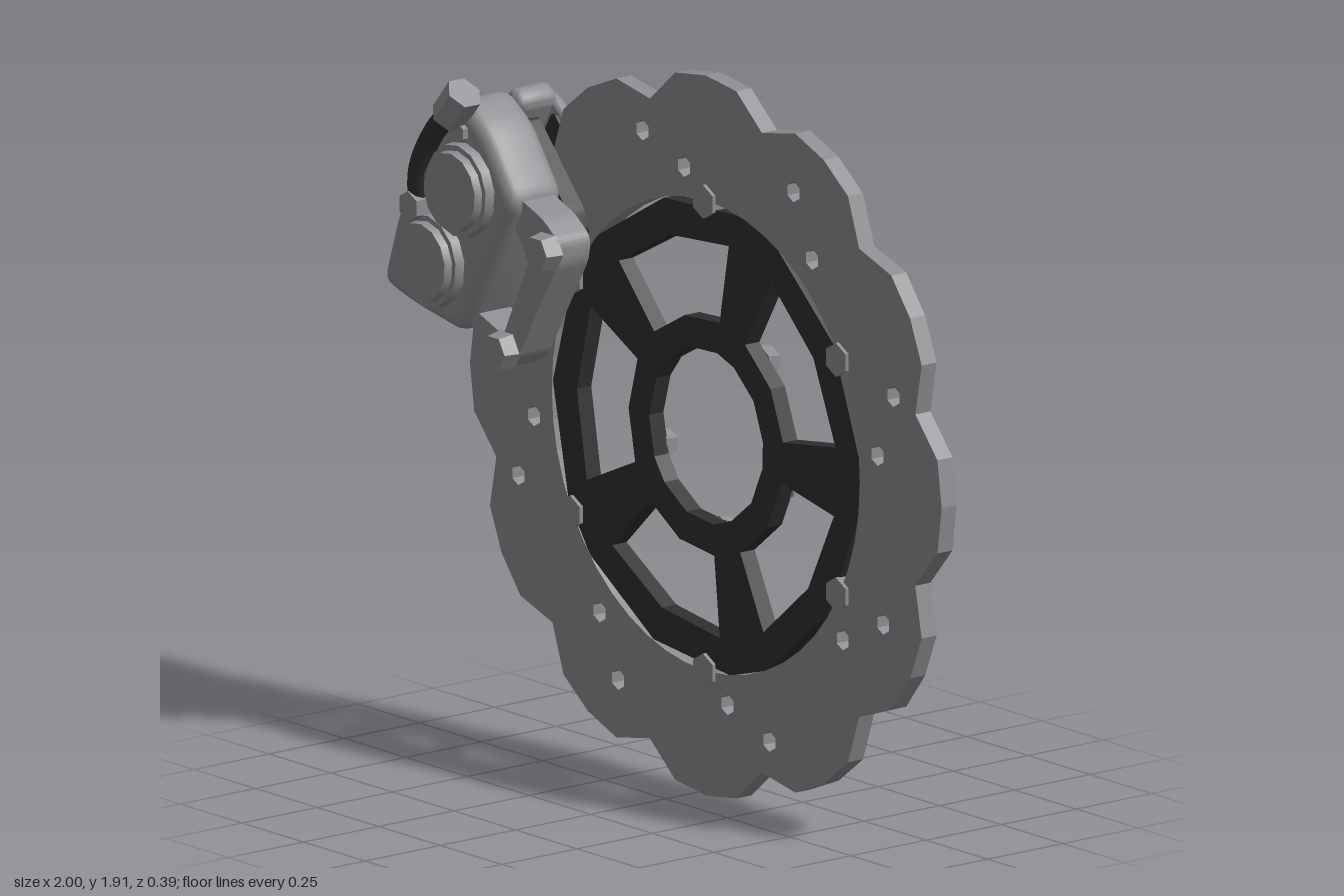
import * as THREE from 'three';
import { toCreasedNormals } from 'three/addons/utils/BufferGeometryUtils.js';

const steel = new THREE.MeshStandardMaterial({ color: 0x8c8d90 });
steel.name = 'steel grey';
const dark = new THREE.MeshStandardMaterial({ color: 0x2f2f2f });
dark.name = 'dark grey';

const rad = THREE.MathUtils.degToRad;
const polar = (r, deg) => new THREE.Vector2(r * Math.cos(rad(deg)), r * Math.sin(rad(deg)));

function add(parent, name, geometry, material) {
  const mesh = new THREE.Mesh(geometry, material);
  mesh.name = name;
  parent.add(mesh);
  return mesh;
}

// Regular polygon path, used for holes
function ring(r, sides, x = 0, y = 0) {
  const pts = [];
  for (let i = 0; i < sides; i++) {
    const p = polar(r, 90 + (i * 360) / sides);
    pts.push(new THREE.Vector2(p.x + x, p.y + y));
  }
  return new THREE.Path(pts);
}

// Flat plate between two depths
function plate(shape, z0, z1) {
  return new THREE.ExtrudeGeometry(shape, { depth: z1 - z0, bevelEnabled: false, curveSegments: 6 }).translate(0, 0, z0);
}

// Plate with softly rounded edges
function softPlate(shape, z0, z1, b) {
  const g = new THREE.ExtrudeGeometry(shape, {
    depth: z1 - z0 - 2 * b, bevelThickness: b, bevelSize: b, bevelOffset: -b, bevelSegments: 4, curveSegments: 5,
  }).translate(0, 0, z0 + b);
  return toCreasedNormals(g, 0.7);
}

// Closed outline with rounded corners
function rounded(points, r) {
  const v = points.map(([x, y]) => new THREE.Vector2(x, y));
  const s = new THREE.Shape();
  v.forEach((p, i) => {
    const prev = v[(i + v.length - 1) % v.length], next = v[(i + 1) % v.length];
    const a = p.clone().add(prev.clone().sub(p).setLength(r));
    const b = p.clone().add(next.clone().sub(p).setLength(r));
    if (i === 0) s.moveTo(a.x, a.y); else s.lineTo(a.x, a.y);
    s.quadraticCurveTo(p.x, p.y, b.x, b.y);
  });
  s.closePath();
  return s;
}

// Cylinder along z, from z0 (radius r0) to z1 (radius r1)
function stud(parent, name, x, y, z0, z1, r0, r1, sides = 6) {
  let g = new THREE.CylinderGeometry(r1, r0, z1 - z0, sides).rotateX(Math.PI / 2);
  g = sides > 12 ? toCreasedNormals(g, 0.7) : toCreasedNormals(g, 0.1);
  return add(parent, name, g.translate(x, y, (z0 + z1) / 2), steel);
}

function makeRotor() {
  const rotor = new THREE.Group();
  rotor.name = 'rotor';
  rotor.position.set(0.04, 0.96, 0);

  // Scalloped disc with twelve lobes and eight pairs of vent holes
  const radii = [0.957, 0.948, 0.88, 0.948];
  const rim = [];
  for (let i = 0; i < 48; i++) rim.push(polar(radii[i % 4], i * 7.5));
  const disc = new THREE.Shape(rim);
  disc.holes.push(ring(0.625, 48));
  for (let i = 0; i < 8; i++) {
    for (const [r, a] of [[0.803, 18.7], [0.703, 7.2]]) {
      const p = polar(r, a + i * 45);
      disc.holes.push(ring(0.028, 6, p.x, p.y));
    }
  }
  add(rotor, 'brakeDisc', plate(disc, -0.15, -0.1), steel);

  // Five-spoke carrier
  const edge = [], bore = [], windows = [];
  for (let i = 0; i < 5; i++) {
    const a = -2 + i * 72;
    edge.push(polar(0.626, a - 7), polar(0.626, a + 7), polar(0.622, a + 36));
    bore.push(polar(0.232, a - 9), polar(0.232, a + 9), polar(0.232, a + 36));
    windows.push(new THREE.Path([
      polar(0.315, a + 10), polar(0.53, a + 10), polar(0.525, a + 36),
      polar(0.53, a + 62), polar(0.315, a + 62), polar(0.315, a + 36),
    ]));
  }
  const carrier = new THREE.Shape(edge);
  carrier.holes.push(new THREE.Path(bore), ...windows);
  add(rotor, 'carrier', plate(carrier, -0.149, -0.101), dark);

  // Rivets on the rim of the carrier
  for (let i = 0; i < 6; i++) {
    const p = polar(0.623, 30 + i * 60);
    stud(rotor, 'rimRivet', p.x, p.y, -0.16, -0.09, 0.045, 0.045);
  }
  // Tapered bolts behind the hub
  for (let i = 0; i < 5; i++) {
    const p = polar(0.27, 270 + i * 72);
    stud(rotor, 'hubBolt', p.x, p.y, -0.192, -0.145, 0.036, 0.05);
  }
  return rotor;
}

// Caliper axes: +x points away from the rotor centre, y runs along the rim
function makeCaliper() {
  const caliper = new THREE.Group();
  caliper.name = 'caliper';
  caliper.position.set(0.04, 0.96, 0);
  caliper.rotation.z = rad(150);

  // Front housing
  const outline = [[0.705, -0.225], [0.9, -0.315], [1.03, -0.325], [1.075, -0.12],
    [1.075, 0.12], [1.03, 0.325], [0.9, 0.295], [0.705, 0.225]];
  add(caliper, 'frontHousing', softPlate(rounded(outline, 0.045), -0.05, 0.125, 0.04), steel);

  // Bridge over the rim and rear housing
  const bridge = [[0.965, -0.31], [1.03, -0.32], [1.075, -0.12], [1.075, 0.12], [1.03, 0.32], [0.965, 0.31]];
  add(caliper, 'bridge', softPlate(rounded(bridge, 0.03), -0.18, -0.05, 0.025), steel);
  const rear = [[0.74, -0.22], [0.9, -0.29], [1.02, -0.3], [1.055, -0.12],
    [1.055, 0.12], [1.02, 0.3], [0.9, 0.29], [0.74, 0.22]];
  add(caliper, 'rearHousing', softPlate(rounded(rear, 0.045), -0.197, -0.16, 0.015), steel);

  // Brake pads on both sides of the disc
  const pad = [[0.63, -0.15], [0.68, -0.19], [0.95, -0.28], [0.95, 0.28], [0.68, 0.19], [0.63, 0.15]];
  for (const [z0, z1] of [[-0.1, -0.045], [-0.168, -0.15]]) {
    add(caliper, 'brakePad', plate(rounded(pad, 0.02), z0, z1), dark);
  }

  // Mounting bracket, open in the middle, with two bolts
  const bracket = rounded([[0.76, -0.215], [0.63, -0.235], [0.55, -0.225], [0.525, -0.17],
    [0.525, 0.16], [0.55, 0.215], [0.62, 0.215], [0.76, 0.2]], 0.025);
  bracket.holes.push(new THREE.Path([[0.62, -0.1], [0.73, -0.15], [0.73, 0.16], [0.6, 0.14]]
    .map(([x, y]) => new THREE.Vector2(x, y))));
  add(caliper, 'bracket', plate(bracket, -0.015, 0.09), steel);
  for (const y of [-0.176, 0.166]) stud(caliper, 'bracketBolt', 0.572, y, 0.085, 0.133, 0.055, 0.046);

  // Piston covers
  for (const y of [-0.122, 0.122]) {
    stud(caliper, 'pistonRim', 0.887, y, 0.1, 0.152, 0.128, 0.122, 14);
    stud(caliper, 'pistonCap', 0.887, y, 0.15, 0.174, 0.108, 0.104, 14);
  }
  return caliper;
}

function makeHose() {
  const hose = new THREE.Group();
  hose.name = 'brakeHose';
  const path = new THREE.CatmullRomCurve3([
    [-0.83, 1.44, 0.14], [-0.815, 1.54, 0.15], [-0.765, 1.64, 0.148], [-0.69, 1.72, 0.145],
  ].map((p) => new THREE.Vector3(...p)));
  add(hose, 'hoseLine', new THREE.TubeGeometry(path, 16, 0.03, 10), dark);
  stud(hose, 'hoseNut', -0.83, 1.44, 0.11, 0.178, 0.046, 0.04);
  stud(hose, 'bleedScrew', -0.675, 1.66, 0.1, 0.14, 0.03, 0.026);

  // Hex coupling at the free end
  const g = toCreasedNormals(new THREE.CylinderGeometry(0.05, 0.05, 0.1, 6), 0.1);
  const coupling = add(hose, 'hoseCoupling', g, steel);
  coupling.position.set(-0.675, 1.735, 0.143);
  coupling.rotation.z = rad(-40);
  return hose;
}

export function createModel() {
  const model = new THREE.Group();
  model.name = 'discBrake';
  model.add(makeRotor(), makeCaliper(), makeHose());
  return model;
}
